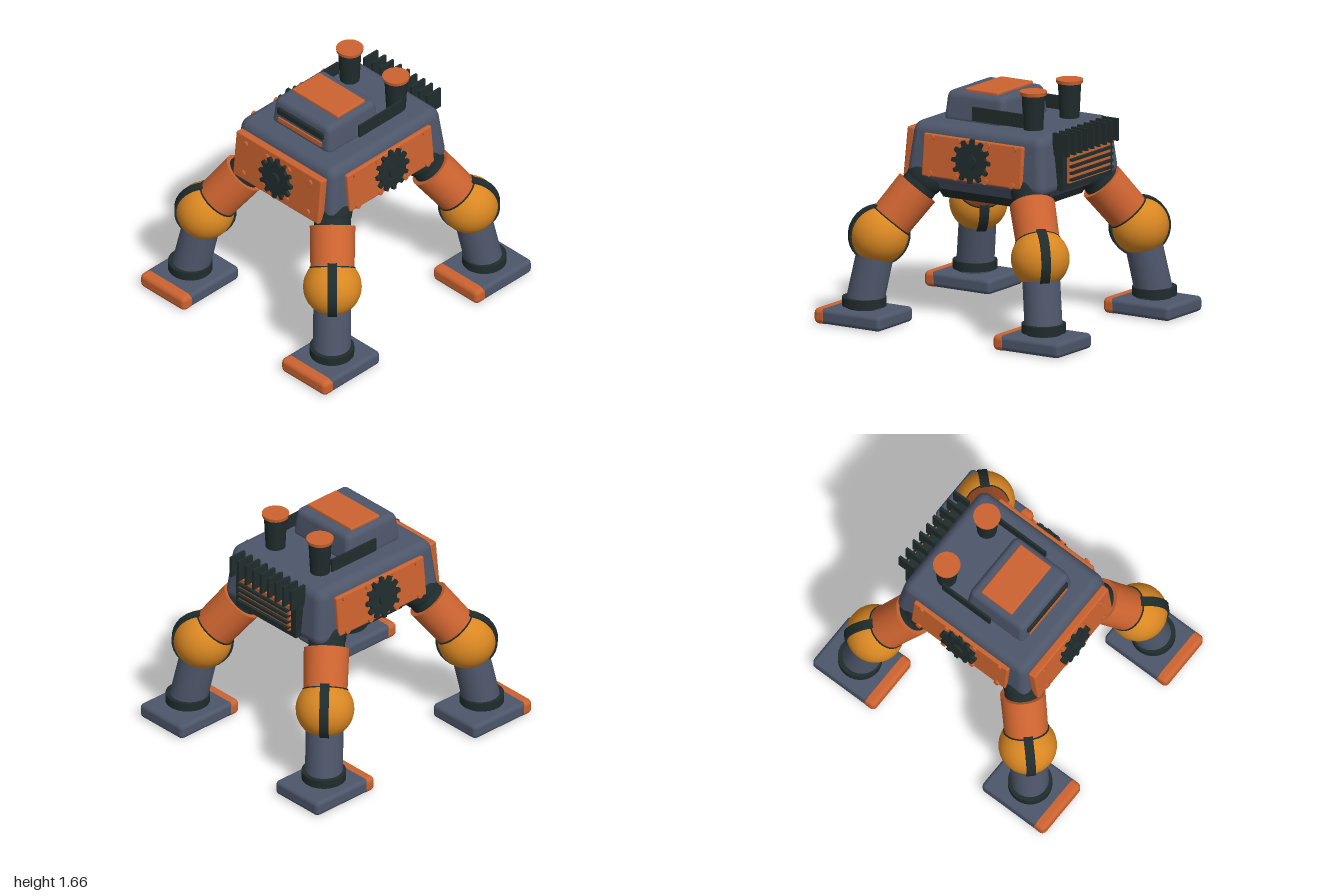
import * as THREE from 'three';
import { RoundedBoxGeometry } from 'three/addons/geometries/RoundedBoxGeometry.js';
import { mergeVertices } from 'three/addons/utils/BufferGeometryUtils.js';

const material = (name, color) => {
  const m = new THREE.MeshStandardMaterial({ color });
  m.name = name;
  return m;
};

export function createModel() {
  const slate = material('slate', 0x4d566a);
  const orange = material('orange', 0xcc6330);
  const amber = material('amber', 0xd98722);
  const dark = material('dark', 0x202c2c);
  const model = new THREE.Group();
  model.name = 'walker';

  const add = (parent, name, geo, mat, x = 0, y = 0, z = 0) => {
    const mesh = new THREE.Mesh(geo, mat);
    mesh.name = name;
    mesh.position.set(x, y, z);
    parent.add(mesh);
    return mesh;
  };
  const box = (w, h, d) => new THREE.BoxGeometry(w, h, d);
  const rounded = (w, h, d, r) => new RoundedBoxGeometry(w, h, d, 3, r);

  // Scales a box linearly from its base to its top
  const taper = (geo, h, topX, topZ) => {
    const p = geo.attributes.position;
    for (let i = 0; i < p.count; i++) {
      const t = p.getY(i) / h + 0.5;
      p.setX(i, p.getX(i) * (1 + (topX - 1) * t));
      p.setZ(i, p.getZ(i) * (1 + (topZ - 1) * t));
    }
    geo.computeVertexNormals();
    return geo;
  };
  const smoothRounded = (w, h, d, r) => {
    const geo = rounded(w, h, d, r);
    geo.deleteAttribute('normal');
    geo.deleteAttribute('uv');
    return mergeVertices(geo, 1e-4);
  };

  // Cylinder between two points
  const limb = (parent, name, a, b, rA, rB, mat) => {
    const dir = b.clone().sub(a);
    const mesh = add(parent, name, new THREE.CylinderGeometry(rB, rA, dir.length(), 32), mat);
    mesh.position.copy(a).add(b).multiplyScalar(0.5);
    mesh.quaternion.setFromUnitVectors(new THREE.Vector3(0, 1, 0), dir.normalize());
    return mesh;
  };

  // Hull
  add(model, 'hull', taper(smoothRounded(0.98, 0.41, 1.14, 0.07), 0.41, 0.91, 0.92), slate, 0, 1.195, -0.04);
  add(model, 'lowerHull', taper(box(0.78, 0.09, 0.88), 0.09, 1.18, 1.2), slate, 0, 0.98, -0.04);
  add(model, 'belly', taper(box(0.62, 0.1, 0.72), 0.1, 1.15, 1.12), dark, 0, 0.91, -0.04);

  // Cab
  add(model, 'cab', taper(smoothRounded(0.57, 0.22, 0.5, 0.045), 0.22, 0.91, 0.92), slate, 0, 1.485, 0.098);
  add(model, 'roofHatch', rounded(0.44, 0.03, 0.265, 0.01), orange, 0, 1.6, 0.07);
  add(model, 'visor', rounded(0.44, 0.056, 0.04, 0.012), dark, 0, 1.507, 0.332);
  add(model, 'cabStripe', box(0.41, 0.034, 0.03), orange, 0, 1.44, 0.336);

  // Armour panels with rivets and a cogwheel, facing local +z
  const cogShape = new THREE.Shape();
  const teeth = 12;
  for (let i = 0; i < teeth; i++) {
    for (const [f, r] of [[-0.3, 0.12], [-0.16, 0.153], [0.16, 0.153], [0.3, 0.12]]) {
      const a = ((i + f) / teeth) * Math.PI * 2;
      const method = i === 0 && f === -0.3 ? 'moveTo' : 'lineTo';
      cogShape[method](Math.cos(a) * r, Math.sin(a) * r);
    }
  }
  cogShape.closePath();
  const cogGeo = new THREE.ExtrudeGeometry(cogShape, { depth: 0.026, bevelEnabled: false });
  const discGeo = (r, d, n) => new THREE.CylinderGeometry(r, r, d, n).rotateX(Math.PI / 2);

  const armourPanel = (name, w, h, rivetX, rivetY) => {
    const g = new THREE.Group();
    g.name = name;
    add(g, 'armourPlate', rounded(w, h, 0.06, 0.012), orange, 0, 0, -0.03);
    for (const x of rivetX)
      for (const sx of [-1, 1])
        for (const sy of [-1, 1]) add(g, 'rivet', discGeo(0.021, 0.016, 12), orange, sx * x, sy * rivetY, 0.006);
    add(g, 'cog', cogGeo, dark, 0, 0, -0.002);
    add(g, 'cogHub', discGeo(0.048, 0.04, 20), dark, 0, 0, 0.02);
    g.rotation.order = 'YXZ';
    g.rotation.x = -0.1;
    model.add(g);
    return g;
  };
  armourPanel('frontPanel', 0.82, 0.35, [0.105, 0.31], 0.118).position.set(0, 1.168, 0.567);
  for (const s of [-1, 1]) {
    const g = armourPanel(s > 0 ? 'leftPanel' : 'rightPanel', 0.81, 0.295, [0.12, 0.335], 0.125);
    g.position.set(s * 0.495, 1.185, -0.035);
    g.rotation.y = (s * Math.PI) / 2;
  }

  // Exhaust stacks and side rails
  for (const s of [-1, 1]) {
    add(model, 'exhaustStack', new THREE.CylinderGeometry(0.08, 0.067, 0.26, 28), dark, s * 0.222, 1.515, -0.355);
    add(model, 'exhaustCap', new THREE.CylinderGeometry(0.094, 0.09, 0.025, 28), orange, s * 0.222, 1.652, -0.355);
    add(model, 'sideRail', box(0.016, 0.095, 0.41), dark, s * 0.305, 1.467, -0.12);
  }

  // Rear radiator with bars and cooling fins
  add(model, 'radiatorFrame', box(0.6, 0.3, 0.1), dark, 0, 1.17, -0.6);
  add(model, 'radiatorCore', box(0.5, 0.2, 0.04), orange, 0, 1.165, -0.65);
  for (let i = 0; i < 4; i++) add(model, 'radiatorBar', box(0.5, 0.018, 0.05), dark, 0, 1.09 + i * 0.046, -0.668);
  for (let i = 0; i < 9; i++) add(model, 'coolingFin', box(0.018, 0.155, 0.13), dark, -0.3 + i * 0.075, 1.34, -0.636);

  // Legs: built for +x and mirrored by sign
  for (const sx of [-1, 1]) {
    for (const sz of [-1, 1]) {
      const leg = new THREE.Group();
      leg.name = (sz > 0 ? 'front' : 'rear') + (sx > 0 ? 'Left' : 'Right') + 'Leg';
      model.add(leg);
      const dz = -0.012;
      const at = (x, y, z) => new THREE.Vector3(sx * x, y, sz * z + dz);
      const hip = at(0.38, 1.0, 0.425);
      const knee = at(0.61, 0.61, 0.657);
      const ankle = at(0.68, 0.13, 0.732);
      const along = (t) => hip.clone().lerp(knee, t);

      add(leg, 'hipJoint', new THREE.SphereGeometry(0.135, 28, 18), dark).position.copy(hip);
      limb(leg, 'hipSleeve', hip, along(0.3), 0.12, 0.13, dark);
      limb(leg, 'thigh', along(0.19), along(0.78), 0.155, 0.15, orange);
      limb(leg, 'thighCollar', along(0.74), along(0.8), 0.157, 0.157, dark);
      add(leg, 'knee', new THREE.SphereGeometry(0.2, 32, 20), amber).position.copy(knee);

      // Flat band round the knee, in the plane of the leg
      const r = 0.212, w = 0.032;
      const strapGeo = new THREE.LatheGeometry(
        [[0.19, -w], [r, -w], [r, -w], [r, w], [r, w], [0.19, w]].map((p) => new THREE.Vector2(...p)), 28);
      const strap = add(leg, 'kneeStrap', strapGeo, dark);
      strap.position.copy(knee);
      strap.quaternion.setFromUnitVectors(new THREE.Vector3(0, 1, 0), new THREE.Vector3(sx, 0, -sz).normalize());

      limb(leg, 'shin', knee, ankle, 0.128, 0.13, slate);
      add(leg, 'ankleRing', new THREE.CylinderGeometry(0.152, 0.152, 0.06, 32), dark, ankle.x, 0.155, ankle.z);
      add(leg, 'ankleBase', new THREE.CylinderGeometry(0.12, 0.12, 0.06, 32), dark, ankle.x, 0.115, ankle.z);

      // Foot with its toe cap always forward
      const fz = sz * 0.73;
      add(leg, 'foot', rounded(0.425, 0.106, 0.5, 0.03), slate, sx * 0.677, 0.056, fz - 0.02);
      add(leg, 'toeCap', rounded(0.43, 0.11, 0.105, 0.035), orange, sx * 0.677, 0.055, fz + 0.217);
    }
  }
  return model;
}
